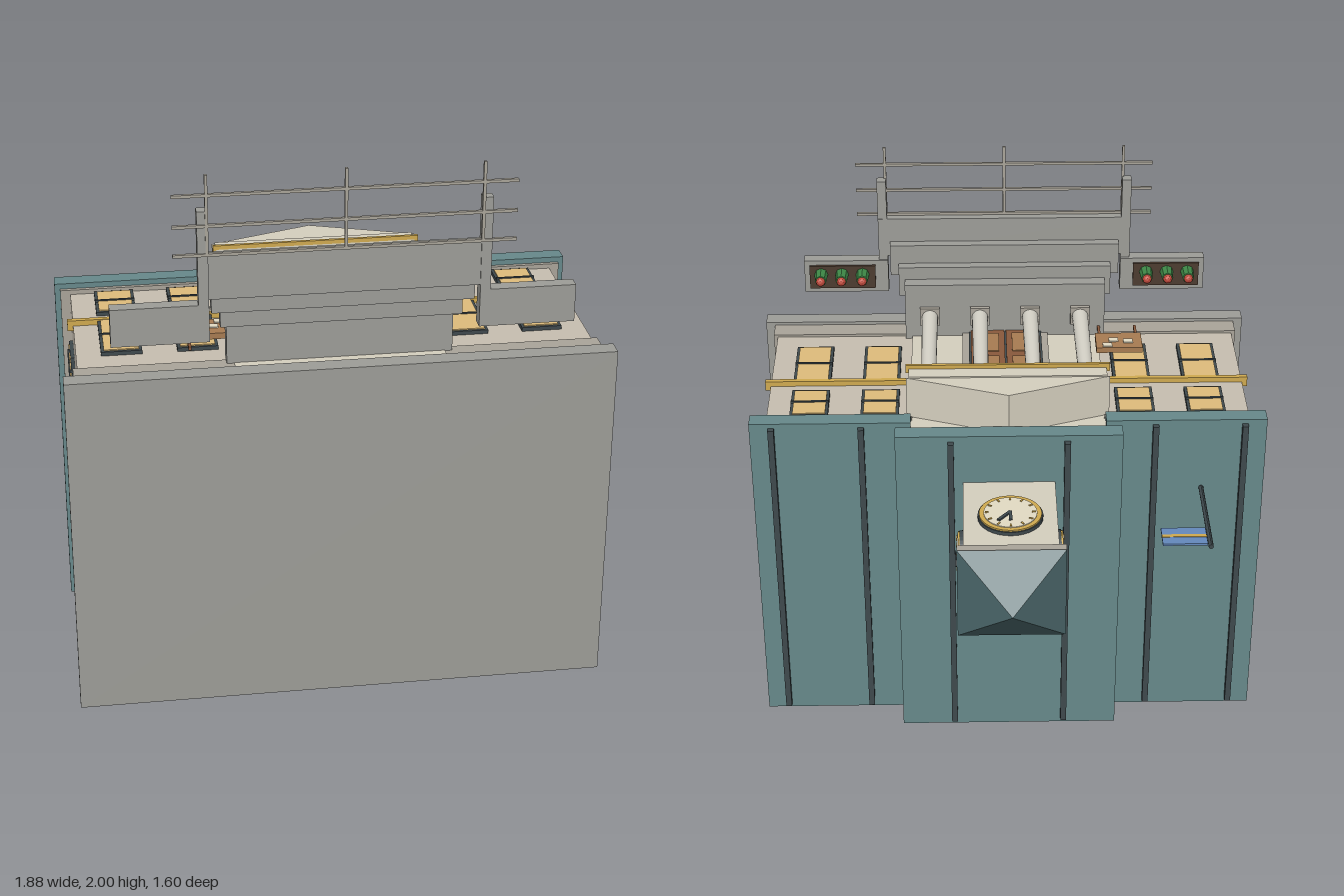
import * as THREE from 'three';

// The town hall lies on its back: its roof points to -z and its facade to +y.
const C = {
  stone: 0x9d9d98, wall: 0xc8bfb1, cream: 0xd6d0bf, trim: 0xaaa59a, roof: 0x67898b, spire: 0x4c686b,
  dark: 0x3f494d, gold: 0xd0aa50, pane: 0xdfbd7c, wood: 0x8a5a3c, board: 0xa87c52, paper: 0xe4dcc4,
  green: 0x3f8a48, red: 0xc04a3c, blue: 0x6489bd, column: 0xd8d5ca, glass: 0x4a5358, soil: 0x4d3c30,
};
const mats = {};
const mat = (c) => (mats[c] ??= new THREE.MeshStandardMaterial({ color: C[c], flatShading: c !== 'column' }));

function add(parent, name, color, geometry, x = 0, y = 0, z = 0) {
  const mesh = new THREE.Mesh(geometry, mat(color));
  mesh.name = name;
  mesh.position.set(x, y, z);
  parent.add(mesh);
  return mesh;
}

// Box from its limits on each axis
const box = (parent, name, color, x0, x1, y0, y1, z0, z1) =>
  add(parent, name, color, new THREE.BoxGeometry(Math.abs(x1 - x0), y1 - y0, z1 - z0),
    (x0 + x1) / 2, (y0 + y1) / 2, (z0 + z1) / 2);

function group(parent, name, x = 0, y = 0, z = 0) {
  const g = new THREE.Group();
  g.name = name;
  g.position.set(x, y, z);
  parent.add(g);
  return g;
}

// Window facing +y: frame, pane and glazing bars
function makeWindow(parent, x, y, z, w, h, cross) {
  const g = group(parent, 'window', x, y, z);
  box(g, 'windowFrame', 'dark', -w / 2, w / 2, 0, 0.014, -h / 2, h / 2);
  box(g, 'windowPane', 'pane', -w / 2 + 0.01, w / 2 - 0.01, 0, 0.018, -h / 2 + 0.01, h / 2 - 0.01);
  box(g, 'glazingBar', 'dark', -w / 2, w / 2, 0, 0.022, -0.004, 0.004);
  if (cross) box(g, 'glazingBar', 'dark', -0.004, 0.004, 0, 0.022, -h / 2, h / 2);
  return g;
}

// Clock facing +y, twelve towards -z
function makeClock(parent, x, y, z, r) {
  const g = group(parent, 'clock', x, y, z);
  const disc = (name, color, rad, h) => add(g, name, color, new THREE.CylinderGeometry(rad, rad, h, 32), 0, h / 2, 0);
  disc('clockRim', 'dark', r, 0.014);
  disc('clockRing', 'gold', r * 0.96, 0.02);
  disc('clockFace', 'paper', r * 0.82, 0.023);
  for (let i = 0; i < 12; i++) {
    const a = (i * Math.PI) / 6;
    const tick = add(g, 'hourMark', 'gold', new THREE.BoxGeometry(r * 0.05, 0.004, r * 0.12),
      Math.sin(a) * r * 0.72, 0.024, -Math.cos(a) * r * 0.72);
    tick.rotation.y = -a;
  }
  for (const [len, a] of [[0.6, 0.68], [0.45, 0]]) {
    const hand = add(g, 'clockHand', 'dark', new THREE.BoxGeometry(r * 0.1, 0.006, r * len),
      Math.sin(a) * r * len / 2, 0.026, -Math.cos(a) * r * len / 2);
    hand.rotation.y = -a;
  }
  return g;
}

export function createModel() {
  const model = new THREE.Group();
  model.name = 'townHall';

  // Foundation and walls
  box(model, 'foundation', 'stone', -0.935, 0.935, 0.02, 1.29, 0.73, 0.795);
  box(model, 'plinth', 'trim', -0.9, 0.9, 0.04, 1.278, 0.65, 0.731);
  box(model, 'centreWall', 'cream', -0.36, 0.36, 0.03, 1.28, -0.11, 0.73);
  for (const s of [-1, 1]) {
    box(model, 'wingWall', 'wall', s * 0.35, s * 0.885, 0.04, 1.268, 0, 0.73);
    box(model, 'stringCourse', 'gold', s * 0.36, s * 0.905, 1.25, 1.288, 0.268, 0.287);
    box(model, 'eave', 'trim', s * 0.35, s * 0.92, 0.025, 1.285, -0.01, 0.012);
    // Wing roof with ribs
    box(model, 'wingRoof', 'roof', s * 0.355, s * 0.94, 0.01, 1.305, -0.068, -0.003);
    for (const x of [0.535, 0.86])
      box(model, 'roofRib', 'dark', s * x - 0.011, s * x + 0.011, 0.03, 1.288, -0.091, -0.066);
    box(model, 'roofRib', 'dark', s * 0.21 - 0.011, s * 0.21 + 0.011, 0.03, 1.288, -0.2, -0.174);

    // Front windows
    for (const x of [0.73, 0.47]) {
      makeWindow(model, s * x, 1.268, 0.122, 0.14, 0.185);
      makeWindow(model, s * x, 1.268, 0.408, 0.14, 0.275);
    }
    // Side windows, four bays deep
    for (const y of [0.27, 0.525, 0.82, 1.06])
      for (const [z, w, h] of [[0.445, 0.12, 0.18], [0.15, 0.11, 0.145]])
        makeWindow(model, s * 0.885, y, z, w, h, true).rotation.z = -s * Math.PI / 2;
  }
  box(model, 'centreRoof', 'roof', -0.41, 0.41, 0.005, 1.31, -0.176, -0.108);

  // Clock tower
  const tower = group(model, 'clockTower', 0, 0.963, 0);
  box(tower, 'towerShaft', 'cream', -0.167, 0.167, -0.153, 0.153, -0.62, -0.17);
  box(tower, 'towerCornice', 'trim', -0.19, 0.19, -0.178, 0.178, -0.652, -0.615);
  const spire = new THREE.ConeGeometry(Math.SQRT1_2, 1, 4).rotateY(Math.PI / 4);
  spire.scale(0.38, 0.148, 0.362).rotateX(-Math.PI / 2);
  add(tower, 'spire', 'spire', spire, 0, 0, -0.726);
  makeClock(tower, 0, 0.153, -0.408, 0.116);
  for (const s of [-1, 1]) makeClock(tower, s * 0.167, 0, -0.405, 0.082).rotation.z = -s * Math.PI / 2;

  // Flagpole and flag
  const pole = add(model, 'flagpole', 'dark', new THREE.CylinderGeometry(0.009, 0.009, 0.39, 10), -0.71, 1.02, -0.27);
  pole.rotation.x = Math.PI / 2;
  box(model, 'flag', 'blue', -0.7, -0.54, 1.016, 1.024, -0.45, -0.348);
  box(model, 'flagStripe', 'gold', -0.7, -0.54, 1.014, 1.026, -0.408, -0.392);

  // Portico: pediment, entablature and columns
  const gable = new THREE.Shape([[-0.37, -0.022], [0.37, -0.022], [0, 0.11]].map((p) => new THREE.Vector2(...p)));
  add(model, 'pediment', 'cream', new THREE.ExtrudeGeometry(gable, { depth: 0.17, bevelEnabled: false })
    .rotateX(-Math.PI / 2), 0, 1.27, 0);
  box(model, 'entablature', 'cream', -0.36, 0.36, 1.27, 1.445, 0.02, 0.09);
  box(model, 'entablatureTrim', 'gold', -0.372, 0.372, 1.43, 1.46, 0.078, 0.09);
  for (const x of [-0.29, -0.097, 0.097, 0.29]) {
    const shaft = add(model, 'column', 'column', new THREE.CylinderGeometry(0.027, 0.031, 0.52, 20), x, 1.37, 0.365);
    shaft.rotation.x = -Math.PI / 2;
    box(model, 'capital', 'trim', x - 0.037, x + 0.037, 1.333, 1.407, 0.088, 0.112);
    box(model, 'columnBase', 'trim', x - 0.037, x + 0.037, 1.333, 1.407, 0.61, 0.632);
  }

  // Entrance
  box(model, 'nameBoard', 'glass', -0.33, 0.33, 1.27, 1.295, 0.092, 0.188);
  box(model, 'doorSurround', 'trim', -0.165, 0.165, 1.27, 1.29, 0.2, 0.63);
  box(model, 'doorFrame', 'dark', -0.14, 0.14, 1.27, 1.296, 0.238, 0.63);
  for (const s of [-1, 1]) {
    box(model, 'doorLeaf', 'wood', s * 0.003, s * 0.132, 1.27, 1.302, 0.248, 0.63);
    for (const z of [0.28, 0.46])
      box(model, 'doorPanel', 'board', s * 0.025, s * 0.11, 1.28, 1.306, z, z + 0.14);
    box(model, 'lantern', 'gold', s * 0.19, s * 0.245, 1.27, 1.32, 0.2, 0.236);
    box(model, 'lanternFoot', 'dark', s * 0.205, s * 0.23, 1.27, 1.31, 0.236, 0.25);
  }

  // Steps, widening towards the ground
  for (const [w, y0, y1, z0, z1] of [
    [0.385, 1.27, 1.5, 0.628, 0.682], [0.408, 1.43, 1.55, 0.68, 0.72],
    [0.44, 1.5, 1.625, 0.718, 0.758], [0.485, 1.565, 1.72, 0.756, 0.792]])
    box(model, 'step', 'stone', -w, w, y0, y1, z0, z1);

  // Side kerbs and flower planters
  for (const s of [-1, 1]) {
    box(model, 'stepKerb', 'stone', s * 0.45, s * 0.485, 1.44, 1.875, 0.758, 0.796);
    box(model, 'planter', 'stone', s * 0.45, s * 0.775, 1.415, 1.548, 0.748, 0.796);
    box(model, 'soil', 'soil', s * 0.5, s * 0.755, 1.435, 1.53, 0.738, 0.75);
    for (const x of [0.55, 0.63, 0.71]) {
      add(model, 'plant', 'green', new THREE.CylinderGeometry(0.022, 0.026, 0.06, 8).rotateX(-Math.PI / 2),
        s * x, 1.495, 0.71);
      add(model, 'bloom', 'red', new THREE.IcosahedronGeometry(0.018, 1), s * x, 1.495, 0.675);
    }
  }

  // Path joints in front of the steps
  for (const y of [1.725, 1.825, 1.93]) box(model, 'pathJoint', 'trim', -0.565, 0.565, y - 0.005, y + 0.005, 0.788, 0.8);
  for (const x of [-0.453, 0, 0.453]) box(model, 'pathJoint', 'trim', x - 0.005, x + 0.005, 1.72, 2, 0.788, 0.8);

  // Notice board
  const notice = group(model, 'noticeBoard', -0.433, 1.32, 0);
  box(notice, 'board', 'board', -0.088, 0.088, -0.012, 0.01, 0.43, 0.547);
  for (const s of [-1, 1]) box(notice, 'boardLeg', 'wood', s * 0.065, s * 0.075, -0.012, 0, 0.54, 0.625);
  for (const [x, z] of [[-0.035, 0.48], [0.02, 0.49], [0.045, 0.45]])
    box(notice, 'paper', 'paper', x - 0.018, x + 0.018, 0, 0.014, z - 0.014, z + 0.014);

  return model;
}
